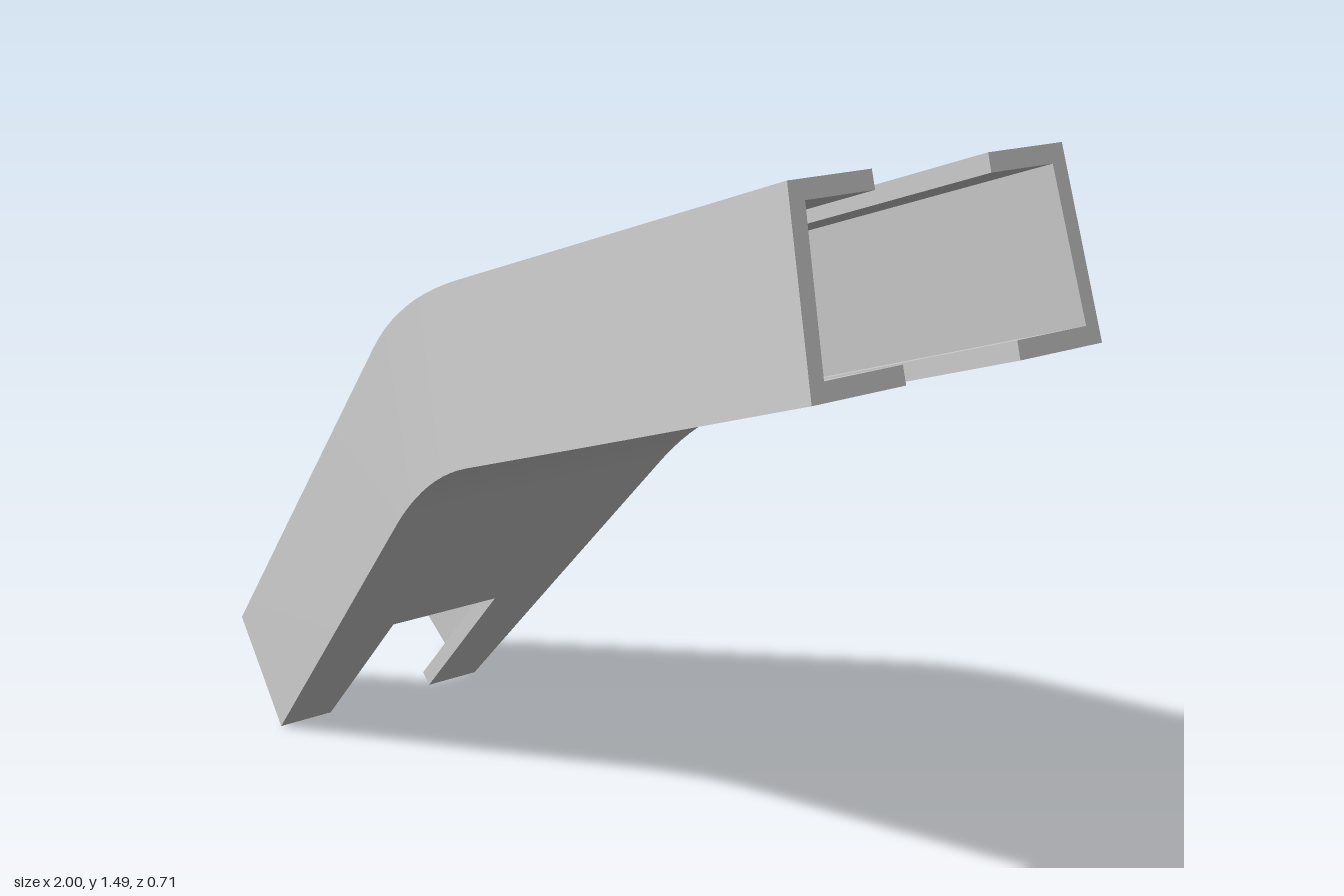
import * as THREE from 'three';
import { toCreasedNormals } from 'three/addons/utils/BufferGeometryUtils.js';

const WALL = 0.035;  // shell thickness
const SLOT = 0.14;   // half width of the end slots
const V2 = (x, y) => new THREE.Vector2(x, y);

// Stations along the bent arm: top edge, bottom edge, added half width
function makeStations() {
  const topBend = new THREE.QuadraticBezierCurve(V2(-0.31, 0.989), V2(-0.202, 1.112), V2(0, 1.18));
  const bottomBend = new THREE.QuadraticBezierCurve(V2(-0.2, 0.65), V2(-0.082, 0.777), V2(0.05, 0.822));
  const stations = [
    { top: V2(-1, 0.205), bottom: V2(-0.8, 0), grow: 0 },
    { top: V2(-0.7, 0.546), bottom: V2(-0.53, 0.293), grow: 0.031 }, // lower slots end
  ];
  const steps = 10;
  for (let i = 0; i <= steps; i++) {
    const u = i / steps;
    stations.push({
      top: topBend.getPoint(u),
      bottom: bottomBend.getPoint(u),
      grow: 0.07 + 0.01 * (2 * u - u * u),
    });
  }
  stations.push(
    { top: V2(0.31, 1.285), bottom: V2(0.405, 0.94), grow: 0.08 },  // upper slots end
    { top: V2(0.9, 1.485), bottom: V2(0.995, 1.138), grow: 0.08 },
  );
  // inner edges of the top and bottom walls
  for (const s of stations) {
    const across = s.bottom.clone().sub(s.top).setLength(WALL);
    s.innerTop = s.top.clone().add(across);
    s.innerBottom = s.bottom.clone().sub(across);
  }
  return stations;
}

// Loft cross-section loops; keep(i, k) chooses faces, caps lists the end quads
function loft(sections, keep, caps, flip) {
  const pos = [];
  const tri = (a, b, c) => {
    for (const p of flip ? [a, c, b] : [a, b, c]) pos.push(p.x, p.y, p.z);
  };
  const quad = (a, b, c, d) => { tri(a, b, c); tri(a, c, d); };
  const n = sections[0].length;
  for (let i = 0; i < sections.length - 1; i++) {
    const s = sections[i], t = sections[i + 1];
    for (let k = 0; k < n; k++) {
      const m = (k + 1) % n;
      if (keep(i, k)) quad(s[k], s[m], t[m], t[k]);
    }
  }
  const first = sections[0], last = sections[sections.length - 1];
  for (const [a, b, c, d] of caps) {
    quad(last[a], last[b], last[c], last[d]);
    quad(first[d], first[c], first[b], first[a]);
  }
  const geo = new THREE.BufferGeometry();
  geo.setAttribute('position', new THREE.Float32BufferAttribute(pos, 3));
  return toCreasedNormals(geo, 0.5);
}

export function createModel() {
  const group = new THREE.Group();
  const material = new THREE.MeshStandardMaterial({ color: 0xcccccc });
  const add = (name, geo) => {
    const mesh = new THREE.Mesh(geo, material);
    mesh.name = name;
    group.add(mesh);
  };
  const at = (p, z) => new THREE.Vector3(p.x, p.y, z);
  const stations = makeStations();
  const lastSegment = stations.length - 2;

  // C-shaped side channels, running the whole length
  for (const side of [1, -1]) {
    const sections = stations.map((s) => {
      const wt = 0.25 + s.grow, wb = 0.275 + s.grow;
      return [
        at(s.top, side * SLOT), at(s.top, side * wt),
        at(s.bottom, side * wb), at(s.bottom, side * SLOT),
        at(s.innerBottom, side * SLOT), at(s.innerBottom, side * (wb - WALL)),
        at(s.innerTop, side * (wt - WALL + 0.003)), at(s.innerTop, side * SLOT),
      ];
    });
    // lip faces are open only beside the slots
    const keep = (i, k) => (k !== 3 && k !== 7) || i === 0 || i === lastSegment;
    add(side > 0 ? 'frontChannel' : 'backChannel',
      loft(sections, keep, [[0, 1, 6, 7], [1, 2, 5, 6], [2, 3, 4, 5]], side < 0));
  }

  // Panels closing the top and bottom between the slots
  const middle = stations.slice(1, -1);
  const panel = (upper, lower) => loft(
    middle.map((s) => [
      at(s[upper], -SLOT), at(s[upper], SLOT), at(s[lower], SLOT), at(s[lower], -SLOT),
    ]),
    (i, k) => k % 2 === 0, [[0, 1, 2, 3]], false);
  add('topPanel', panel('top', 'innerTop'));
  add('bottomPanel', panel('innerBottom', 'bottom'));

  return group;
}
